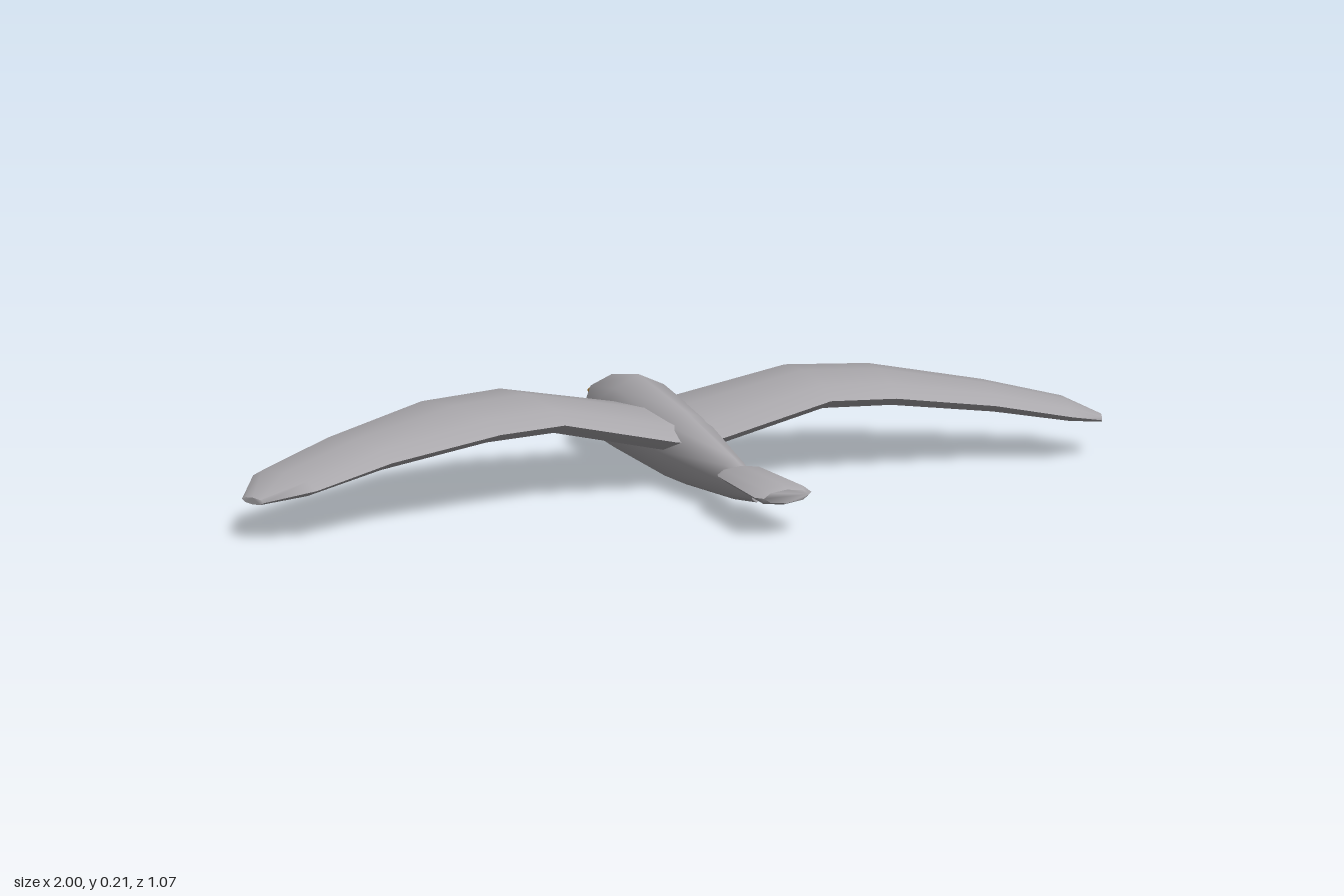
import * as THREE from 'three';
import { toCreasedNormals } from 'three/addons/utils/BufferGeometryUtils.js';

const SIDES = 8;

// Skin a list of rings (arrays of Vector3, counter-clockwise about the travel direction), capped at both ends
function loft(rings, crease = 1.1) {
  const positions = [];
  const index = [];
  rings.forEach((ring) => ring.forEach((p) => positions.push(p.x, p.y, p.z)));
  for (let i = 0; i < rings.length - 1; i++) {
    for (let k = 0; k < SIDES; k++) {
      const a = i * SIDES + k;
      const b = i * SIDES + ((k + 1) % SIDES);
      index.push(a, b, a + SIDES, b, b + SIDES, a + SIDES);
    }
  }
  const last = (rings.length - 1) * SIDES;
  for (let k = 1; k < SIDES - 1; k++) {
    index.push(0, k + 1, k);
    index.push(last, last + k, last + k + 1);
  }
  const geometry = new THREE.BufferGeometry();
  geometry.setAttribute('position', new THREE.Float32BufferAttribute(positions, 3));
  geometry.setIndex(index);
  return toCreasedNormals(geometry, crease);
}

// Elliptical ring across the z axis
function ringZ([z, y, rx, ry]) {
  return Array.from({ length: SIDES }, (_, k) => {
    const a = (k / SIDES) * Math.PI * 2;
    return new THREE.Vector3(Math.cos(a) * rx, y + Math.sin(a) * ry, z);
  });
}

// Slanted wing section running from the leading edge to the trailing edge
function ringWing([leadX, leadZ, trailX, trailZ, y, ry], side) {
  return Array.from({ length: SIDES }, (_, k) => {
    const a = (k / SIDES) * Math.PI * 2 * side;
    const t = 0.5 + 0.5 * Math.sin(a);
    return new THREE.Vector3(
      side * THREE.MathUtils.lerp(leadX, trailX, t),
      y + Math.cos(a) * ry,
      THREE.MathUtils.lerp(leadZ, trailZ, t)
    );
  });
}

export function createModel() {
  const plumage = new THREE.MeshStandardMaterial({ color: 0xaaa8ac });
  plumage.name = 'grey plumage';
  const horn = new THREE.MeshStandardMaterial({ color: 0xd09a48 });
  horn.name = 'ochre beak';

  const bird = new THREE.Group();
  bird.name = 'bird';
  const add = (name, geometry, material) => {
    const mesh = new THREE.Mesh(geometry, material);
    mesh.name = name;
    bird.add(mesh);
  };

  // Body from head to rump: z, centre y, half width, half height
  add('body', loft([
    [-0.468, 0.085, 0.014, 0.016],
    [-0.45, 0.09, 0.034, 0.034],
    [-0.39, 0.09, 0.075, 0.078],
    [-0.23, 0.101, 0.086, 0.095],
    [0.03, 0.081, 0.07, 0.081],
    [0.28, 0.067, 0.032, 0.044],
    [0.39, 0.062, 0.013, 0.021],
  ].map(ringZ)), plumage);

  // Beak, drooping slightly toward the tip
  add('beak', loft([
    [-0.535, 0.103, 0.004, 0.004],
    [-0.5, 0.108, 0.014, 0.014],
    [-0.45, 0.114, 0.027, 0.025],
    [-0.425, 0.115, 0.028, 0.024],
  ].map(ringZ)), horn);

  // Flat tail, a little wider at the end
  add('tail', loft([
    [0.305, 0.085, 0.05, 0.014],
    [0.32, 0.085, 0.054, 0.018],
    [0.515, 0.085, 0.063, 0.02],
    [0.53, 0.085, 0.05, 0.014],
  ].map(ringZ)), plumage);

  // Wing sections: leading x, z, trailing x, z, centre y, half thickness
  const wing = [
    [0.03, -0.27, 0.02, 0.11, 0.108, 0.04],
    [0.07, -0.268, 0.06, 0.11, 0.115, 0.04],
    [0.35, -0.245, 0.31, 0.11, 0.173, 0.036],
    [0.55, -0.2, 0.46, 0.13, 0.17, 0.034],
    [0.79, -0.08, 0.7, 0.15, 0.137, 0.028],
    [0.95, 0.01, 0.87, 0.195, 0.106, 0.021],
    [1.0, 0.11, 0.97, 0.163, 0.084, 0.007],
  ];
  for (const side of [1, -1]) {
    add(side > 0 ? 'leftWing' : 'rightWing', loft(wing.map((s) => ringWing(s, side))), plumage);
  }

  return bird;
}
